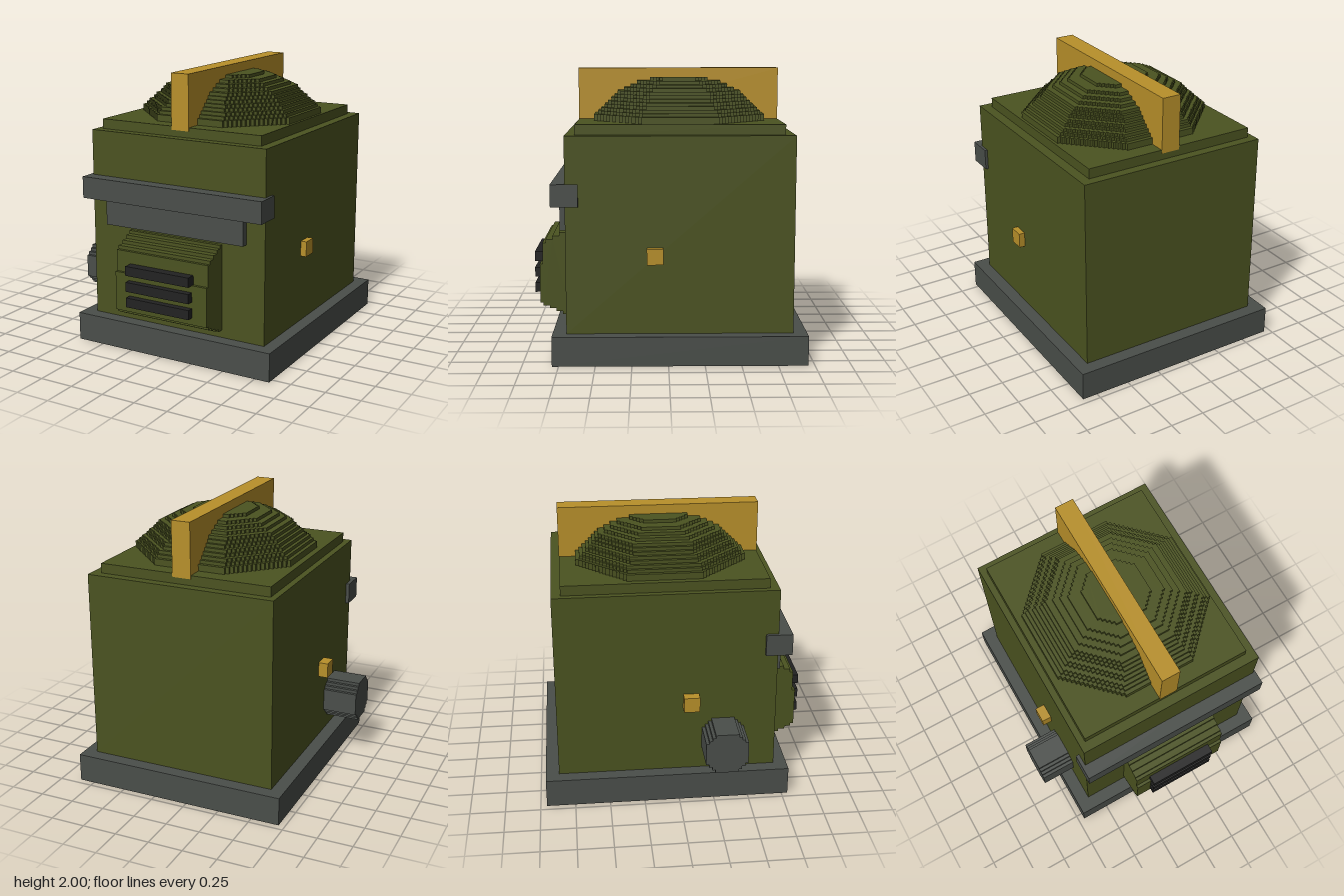
import * as THREE from 'three';

const STEP = 0.0225; // height and width of one stair step

function material(name, color) {
  const m = new THREE.MeshStandardMaterial({ color });
  m.name = name;
  return m;
}

// Regular octagon whose four diagonal sides are staircases
function steppedOctagon(r) {
  const n = Math.max(2, Math.round((r * 0.586) / STEP));
  const corner = [];
  for (let i = 0; i < n; i++) {
    const y = r - (n - 1 - i) * STEP;
    corner.push([r - i * STEP, y]);
    if (i < n - 1) corner.push([r - (i + 1) * STEP, y]);
  }
  const points = [];
  for (let q = 0; q < 4; q++) {
    for (const [x, y] of corner) {
      points.push(new THREE.Vector2(...[[x, y], [-y, x], [-x, -y], [y, -x]][q]));
    }
  }
  return new THREE.Shape(points);
}

const extrude = (shape, depth) => new THREE.ExtrudeGeometry(shape, { depth, bevelEnabled: false });

export function createModel() {
  const group = new THREE.Group();
  const olive = material('olive paint', 0x4b5320);
  const grey = material('grey metal', 0x4a4e4a);
  const gold = material('brass', 0xb8902a);
  const black = material('black iron', 0x222222);

  function add(name, geometry, mat) {
    const mesh = new THREE.Mesh(geometry, mat);
    mesh.name = name;
    group.add(mesh);
    return mesh;
  }

  // Box given by its limits on each axis
  function box(name, mat, [x0, x1], [y0, y1], [z0, z1]) {
    const mesh = add(name, new THREE.BoxGeometry(x1 - x0, y1 - y0, z1 - z0), mat);
    mesh.position.set((x0 + x1) / 2, (y0 + y1) / 2, (z0 + z1) / 2);
  }

  // Main housing
  box('base', grey, [-0.705, 0.86], [0, 0.205], [-0.955, 0.795]);
  box('body', olive, [-0.61, 0.77], [0.205, 1.565], [-0.86, 0.7]);
  box('lid', olive, [-0.565, 0.7], [1.565, 1.635], [-0.795, 0.633]);

  // Front shelf and the panel under it
  box('shelf', grey, [-0.635, 0.79], [1.085, 1.24], [0.61, 0.797]);
  box('shelfPanel', grey, [-0.47, 0.63], [0.9, 1.085], [0.69, 0.748]);

  // Stepped dome, one octagonal layer on another, from the top down
  const radii = [0.207, 0.297, 0.345, 0.39, 0.435, 0.457, 0.48, 0.503, 0.526, 0.55, 0.573, 0.6, 0.6];
  const layer = 0.3 / radii.length;
  radii.forEach((r, i) => {
    const mesh = add('domeLayer', extrude(steppedOctagon(r), layer).rotateX(-Math.PI / 2), olive);
    mesh.position.set(0.08, 1.935 - (i + 1) * layer, -0.082);
  });

  // Ridge over the dome
  box('ridge', gold, [0.01, 0.147], [1.61, 2], [-0.798, 0.637]);

  // Bulging front door: [top of step, depth], from the bottom up
  const steps = [
    [0.281, 0.748], [0.302, 0.796], [0.323, 0.843], [0.345, 0.886], [0.625, 0.909],
    [0.778, 0.888], [0.803, 0.865], [0.828, 0.817], [0.853, 0.77], [0.875, 0.727],
  ];
  const profile = [new THREE.Vector2(0.69, 0.26)];
  let y = 0.26;
  for (const [top, z] of steps) {
    profile.push(new THREE.Vector2(z, y), new THREE.Vector2(z, top));
    y = top;
  }
  profile.push(new THREE.Vector2(0.69, y));
  const door = add('door', extrude(new THREE.Shape(profile), 0.735).rotateY(-Math.PI / 2), olive);
  door.position.x = 0.445;

  // Grate bars on the door
  for (const bottom of [0.395, 0.508, 0.624]) {
    box('grateBar', black, [-0.177, 0.329], [bottom, bottom + 0.068], [0.88, 0.955]);
  }

  // Stepped octagonal pipe on the right side
  const pipe = add('sidePipe', extrude(steppedOctagon(0.15), 0.26).rotateY(-Math.PI / 2), grey);
  pipe.position.set(-0.602, 0.45, 0.32);

  // Small knobs on both sides
  box('rightKnob', gold, [-0.68, -0.6], [0.693, 0.803], [0.035, 0.147]);
  box('leftKnob', gold, [0.76, 0.813], [0.693, 0.803], [0.035, 0.147]);

  return group;
}
